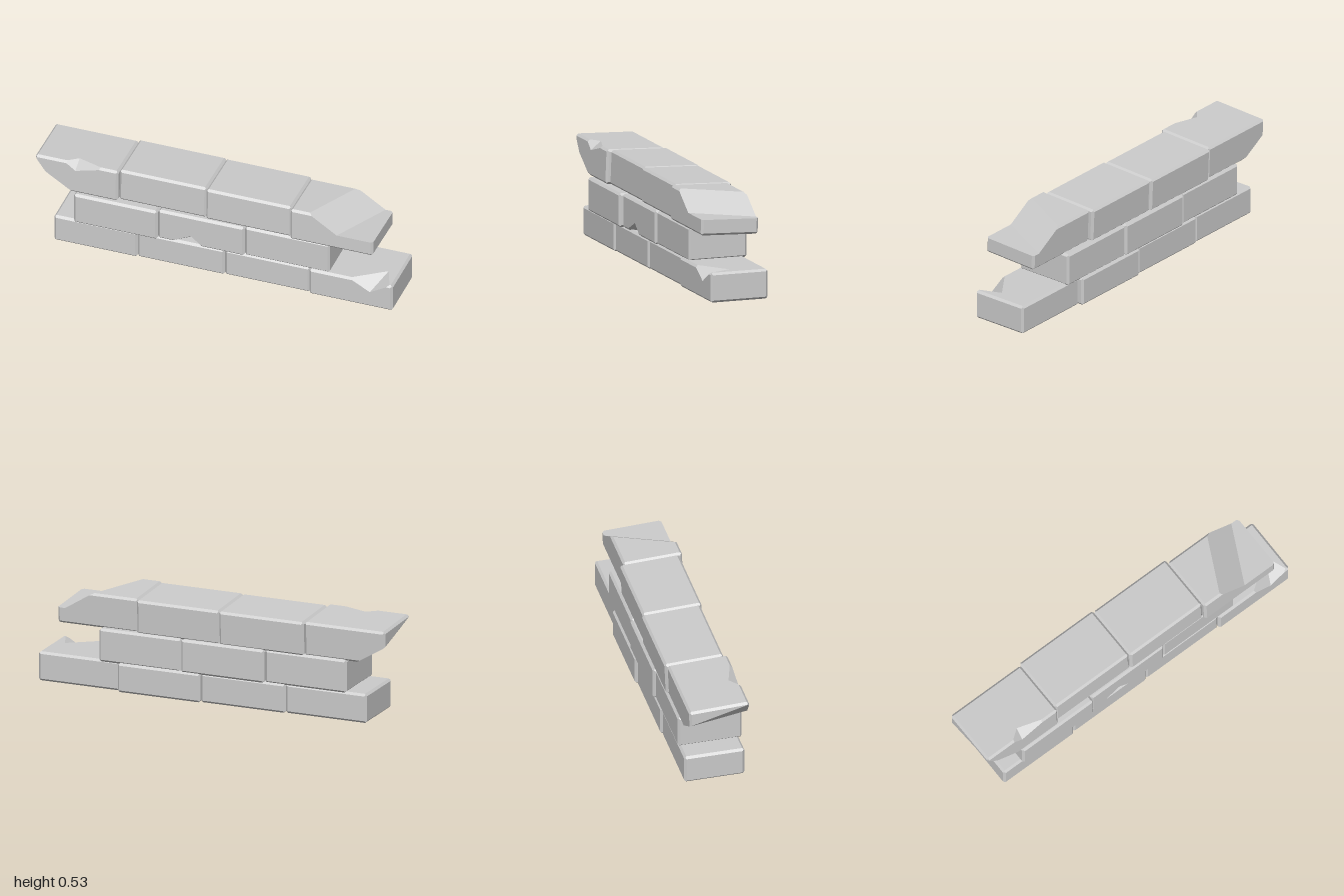
import * as THREE from 'three';
import { ConvexGeometry } from 'three/addons/geometries/ConvexGeometry.js';

const V = (x, y, z) => new THREE.Vector3(x, y, z);
const CHAMFER = 0.012;

// Plane through three points; the side holding `out` is cut away
function cut(p, q, r, out) {
  const plane = new THREE.Plane().setFromCoplanarPoints(p, q, r);
  return plane.distanceToPoint(out) < 0 ? plane.negate() : plane;
}

// The six sides and twelve chamfered edges of a block
function blockPlanes(min, max) {
  const faces = [];
  for (let axis = 0; axis < 3; axis++) {
    for (const s of [-1, 1]) {
      const n = V(0, 0, 0).setComponent(axis, s);
      faces.push({ axis, n, d: s > 0 ? max.getComponent(axis) : -min.getComponent(axis) });
    }
  }
  const planes = faces.map((f) => new THREE.Plane(f.n, -f.d));
  for (const a of faces) {
    for (const b of faces) {
      if (a.axis >= b.axis) continue;
      const n = a.n.clone().add(b.n).multiplyScalar(Math.SQRT1_2);
      planes.push(new THREE.Plane(n, -(a.d + b.d - CHAMFER) * Math.SQRT1_2));
    }
  }
  return planes;
}

// Solid enclosed by a set of planes
function solid(planes) {
  const points = [];
  const c = V(0, 0, 0);
  for (let i = 0; i < planes.length; i++) {
    for (let j = i + 1; j < planes.length; j++) {
      for (let k = j + 1; k < planes.length; k++) {
        const [a, b, d] = [planes[i], planes[j], planes[k]];
        const bc = c.clone().crossVectors(b.normal, d.normal);
        const det = a.normal.dot(bc);
        if (Math.abs(det) < 1e-5) continue;
        const p = bc.multiplyScalar(-a.constant)
          .addScaledVector(V(0, 0, 0).crossVectors(d.normal, a.normal), -b.constant)
          .addScaledVector(V(0, 0, 0).crossVectors(a.normal, b.normal), -d.constant)
          .divideScalar(det);
        if (planes.some((pl) => pl.distanceToPoint(p) > 1e-6)) continue;
        if (!points.some((o) => o.distanceTo(p) < 1e-4)) points.push(p);
      }
    }
  }
  return new ConvexGeometry(points);
}

// V-shaped chip with edge ends a, b and valley c-d, as two halves of a brick
function chip(a, b, c, d) {
  const s = c.clone().add(V(0, 1, 0));
  return [
    [cut(a, c, d, b), cut(c, d, s, b)],
    [cut(b, c, d, a), cut(c, d, s, a)],
  ];
}

export function createModel() {
  const model = new THREE.Group();
  model.name = 'brickWall';
  const material = new THREE.MeshStandardMaterial({ color: 0xcccccc, flatShading: true });

  // Each brick is [x0, x1, z0, z1, convex pieces, shared cuts]
  function row(name, y0, y1, bricks) {
    const group = new THREE.Group();
    group.name = name;
    bricks.forEach(([x0, x1, z0, z1, pieces = [[]], shared = []], i) => {
      const brick = new THREE.Group();
      brick.name = `${name}Brick${i + 1}`;
      const base = blockPlanes(V(x0, y0, z0), V(x1, y1, z1));
      for (const extra of pieces) {
        const mesh = new THREE.Mesh(solid([...base, ...shared, ...extra]), material);
        mesh.name = 'brickBody';
        brick.add(mesh);
      }
      group.add(brick);
    });
    model.add(group);
    return group;
  }

  // Bottom row, chipped near its left front corner
  row('bottomRow', 0, 0.16, [
    [-0.895, -0.43, -0.16, 0.167],
    [-0.43, 0.055, -0.168, 0.16],
    [0.055, 0.53, -0.18, 0.155],
    [0.53, 0.995, -0.155, 0.167,
      chip(V(0.75, 0.16, 0.167), V(0.98, 0.16, 0.167), V(0.87, 0.095, 0.167), V(0.93, 0.16, 0.04))],
  ]);

  // Middle row, chipped under the centre brick
  row('middleRow', 0.153, 0.335, [
    [-0.78, -0.313, -0.165, 0.182],
    [-0.313, 0.167, -0.178, 0.165,
      chip(V(-0.25, 0.153, 0.165), V(-0.06, 0.153, 0.165), V(-0.13, 0.212, 0.165), V(-0.14, 0.153, 0.08))],
    [0.167, 0.64, -0.172, 0.155],
  ]);

  // Top row: broken at both ends and tipped slightly backwards
  const ledge = -0.008;
  const slope = cut(V(0.53, 0.093, 0.175), V(0.69, ledge, 0.175), V(0.85, ledge, -0.15), V(0.89, 0.093, 0));
  const up = V(0, 1, 0);
  const endCuts = [
    cut(V(-1, 0.008, -0.16), V(-0.84, -0.09, -0.16), V(-0.79, -0.09, 0.17), V(-1, -0.093, 0.17)),
    cut(V(-1.002, 0.085, 0.17), V(-0.945, 0.008, 0.17), V(-1, 0.008, -0.16), V(-1, -0.093, 0.17)),
  ];
  const top = row('topRow', -0.093, 0.093, [
    [-1, -0.537, -0.158, 0.168,
      chip(V(-0.84, 0.093, 0.168), V(-0.6, 0.093, 0.168), V(-0.775, 0.045, 0.168), V(-0.77, 0.093, 0.115)),
      endCuts],
    [-0.537, -0.05, -0.17, 0.148],
    [-0.05, 0.427, -0.163, 0.158],
    [0.427, 0.89, -0.143, 0.178, [
      [new THREE.Plane(up.clone(), -ledge)],
      [new THREE.Plane(up.clone().negate(), ledge), slope],
    ]],
  ]);
  top.position.y = 0.427;
  top.rotation.x = -0.04;

  return model;
}
